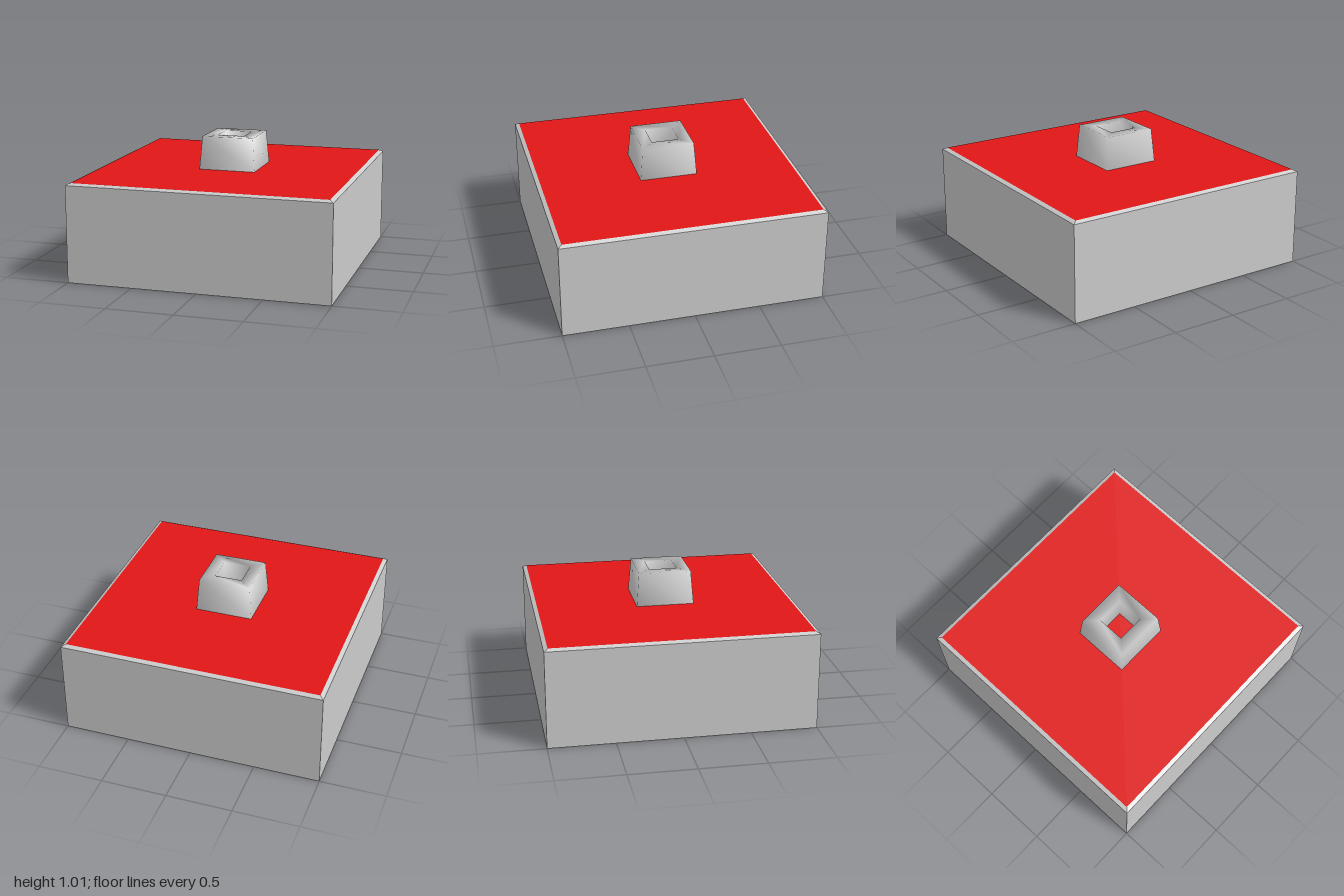
import * as THREE from 'three';

const grey = (flatShading) => new THREE.MeshStandardMaterial({ color: 0xcccccc, flatShading });

// Square solid from a profile of [half width, height] pairs
function squareLathe(profile) {
  const points = profile.map(([half, y]) => new THREE.Vector2(half * Math.SQRT2, y));
  return new THREE.LatheGeometry(points, 4, Math.PI / 4);
}

export function createModel() {
  const model = new THREE.Group();
  const add = (name, geometry, material) => {
    const mesh = new THREE.Mesh(geometry, material);
    mesh.name = name;
    model.add(mesh);
    return mesh;
  };
  const top = 0.755;

  // Block with a shallow bevel around its upper edge
  add('base', squareLathe([[0, 0], [1, 0], [1, 0.74], [0.97, top]]), grey(true));

  // Red top surface, also the floor of the socket
  const panel = add('topPanel', new THREE.PlaneGeometry(1.94, 1.94),
    new THREE.MeshStandardMaterial({ color: 0xe01616 }));
  panel.rotation.x = -Math.PI / 2;
  panel.position.y = top;

  // Tapered hollow socket, softly shaded across its corners
  add('socket', squareLathe([[0.22, top], [0.2, 1.01], [0.105, 1.01], [0.105, top]]), grey(false));

  return model;
}
